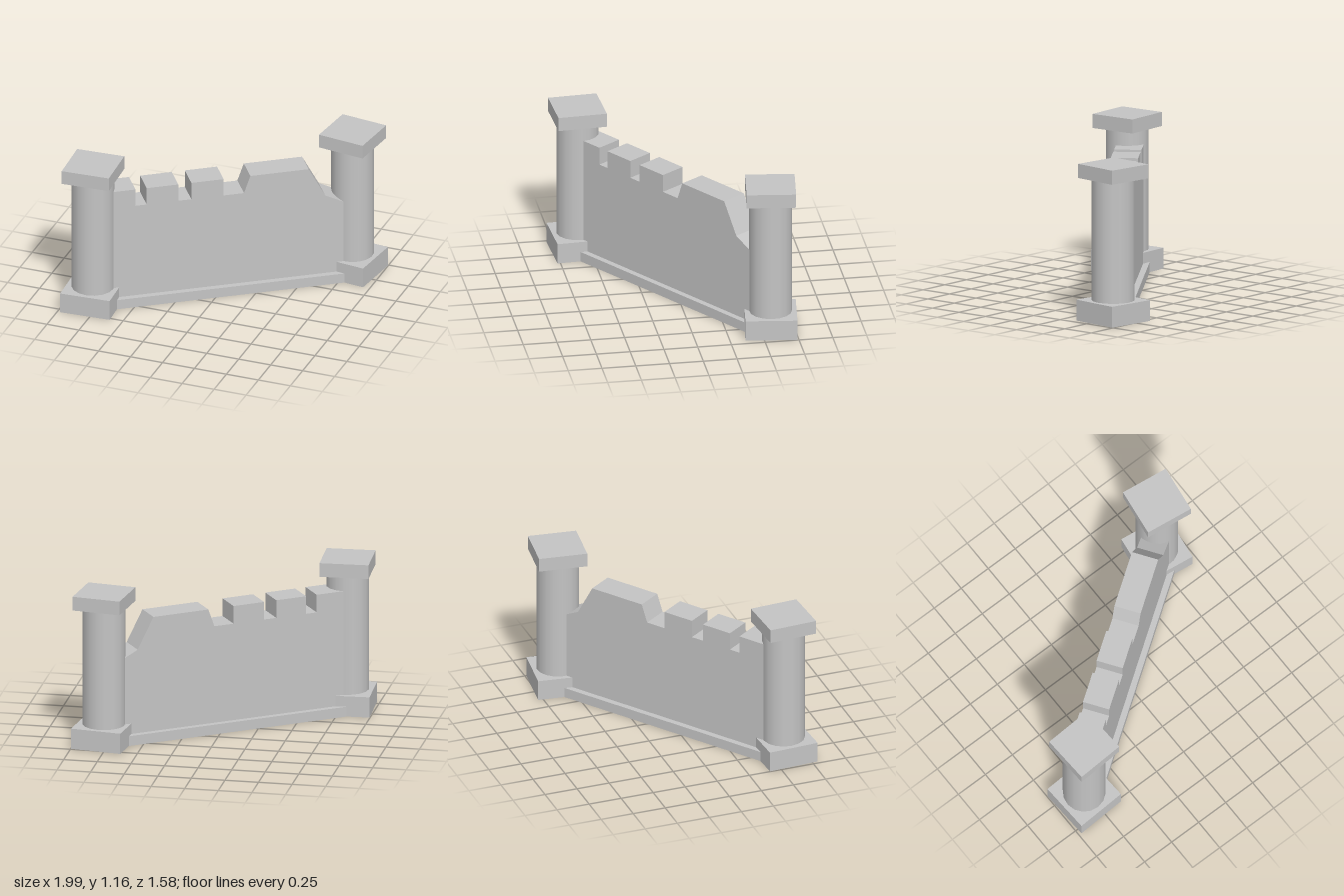
import * as THREE from 'three';

const stone = new THREE.MeshStandardMaterial({ color: 0xc4c4c4, side: THREE.DoubleSide });
stone.name = 'grey stone';

function addMesh(parent, name, geometry, x = 0, y = 0, z = 0) {
  const mesh = new THREE.Mesh(geometry, stone);
  mesh.name = name;
  mesh.position.set(x, y, z);
  parent.add(mesh);
  return mesh;
}

// Box without its underside, hollow from below
function openBox(w, h, d) {
  const box = new THREE.BoxGeometry(w, h, d);
  const index = Array.from(box.index.array);
  index.splice(18, 6);
  box.clearGroups();
  box.setIndex(index);
  return box;
}

// Round pillar between a square base and a square cap
function makeTower(name, x, z, turn) {
  const tower = new THREE.Group();
  tower.name = name;
  tower.position.set(x, 0, z);
  tower.rotation.y = turn;
  addMesh(tower, 'towerBase', openBox(0.38, 0.155, 0.38), 0, 0.0775);
  addMesh(tower, 'towerShaft', new THREE.CylinderGeometry(0.157, 0.157, 0.905, 16, 1, true), 0, 0.6075);
  addMesh(tower, 'towerCap', new THREE.BoxGeometry(0.362, 0.105, 0.362), 0, 1.1125);
  return tower;
}

// Battlement wall with notches and a broken end, on a low plinth
function makeWall() {
  const wall = new THREE.Group();
  wall.name = 'wall';
  wall.rotation.y = THREE.MathUtils.degToRad(35);

  const top = 0.95, notch = 0.815;
  const outline = [
    [-0.93, 0.07], [0.93, 0.07],
    // broken end
    [0.93, 0.62], [0.858, 0.655], [0.738, 0.715], [0.612, top],
    // notches, the widest with one slanted side
    [0.174, top], [0.126, notch], [-0.027, notch], [-0.027, top],
    [-0.27, top], [-0.27, notch], [-0.368, notch], [-0.368, top],
    [-0.606, top], [-0.606, notch], [-0.69, notch], [-0.69, top],
    [-0.93, top],
  ];
  const shape = new THREE.Shape(outline.map(([x, y]) => new THREE.Vector2(x, y)));
  const body = new THREE.ExtrudeGeometry(shape, { depth: 0.2, bevelEnabled: false });
  addMesh(wall, 'battlement', body, 0, 0, -0.1);
  addMesh(wall, 'plinth', openBox(1.9, 0.075, 0.287), 0.03, 0.0375);
  return wall;
}

export function createModel() {
  const model = new THREE.Group();
  model.name = 'castleWall';
  model.add(
    makeWall(),
    makeTower('rightTower', -0.797, 0.592, 0.05),
    makeTower('leftTower', 0.785, -0.575, -0.13),
  );
  return model;
}
